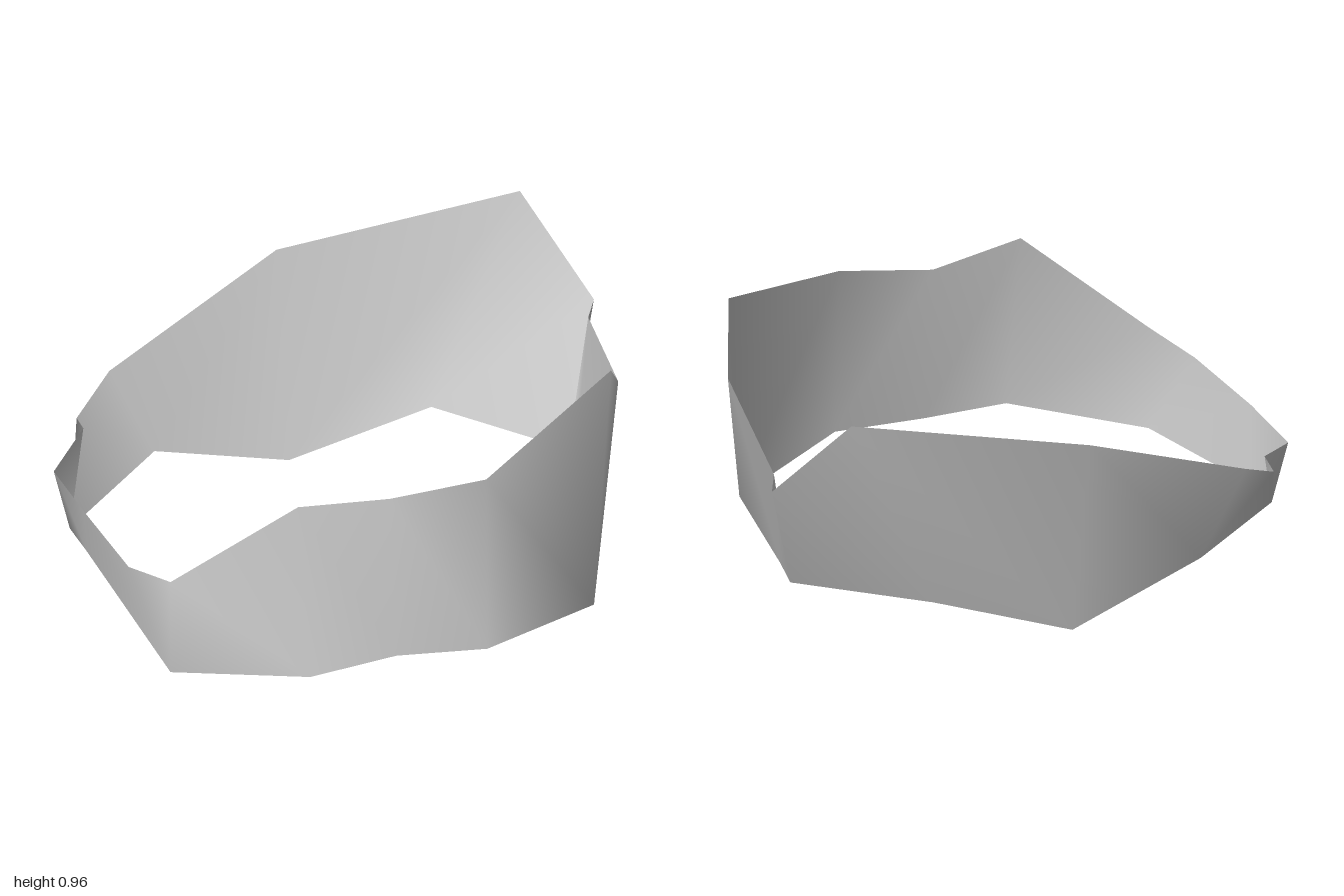
import * as THREE from 'three';

// Upper and lower rims of the band, running from the front towards +x and around
const upperRim = [
  [-0.39, 0.84, 0.73], [-0.05, 0.79, 0.70], [0.29, 0.83, 0.73], [0.83, 0.965, 0.40],
  [0.91, 0.76, 0.20], [0.95, 0.64, -0.35], [1.00, 0.63, -0.46], [0.80, 0.96, -0.71],
  [-0.05, 0.79, -0.82], [-0.70, 0.51, -0.65], [-0.85, 0.42, -0.53], [-0.85, 0.44, -0.44],
  [-1.00, 0.395, -0.28], [-0.97, 0.42, 0.00], [-0.91, 0.44, 0.39], [-0.81, 0.49, 0.58],
];
const lowerRim = [
  [-0.37, 0.165, 0.82], [-0.05, 0.175, 0.79], [0.27, 0.165, 0.82], [0.72, 0.10, 0.58],
  [0.83, 0.165, -0.10], [0.85, 0.16, -0.25], [0.45, 0.17, -0.60], [-0.05, 0.0, -0.65],
  [-0.55, 0.17, -0.60], [-0.95, 0.16, -0.25], [-0.93, 0.165, -0.10], [-0.81, 0.10, 0.58],
];
// Lower point below each upper point; repeated where the panels fan out
const below = [0, 1, 2, 3, 3, 4, 5, 6, 7, 8, 8, 9, 9, 10, 11, 11];

export function createModel() {
  const group = new THREE.Group();
  group.name = 'band';
  const bandGrey = new THREE.MeshStandardMaterial({ color: 0xcccccc, side: THREE.DoubleSide });
  bandGrey.name = 'bandGrey';

  // Sheet stretched between the two rims, with shared vertices for smooth shading
  const n = upperRim.length;
  const index = [];
  for (let i = 0; i < n; i++) {
    const j = (i + 1) % n;
    const a = n + below[i], b = n + below[j];
    if (a !== b) index.push(i, a, b);
    index.push(i, b, j);
  }
  const geometry = new THREE.BufferGeometry();
  geometry.setAttribute('position',
    new THREE.Float32BufferAttribute([...upperRim, ...lowerRim].flat(), 3));
  geometry.setIndex(index);
  geometry.computeVertexNormals();

  const sheet = new THREE.Mesh(geometry, bandGrey);
  sheet.name = 'bandSheet';
  group.add(sheet);
  return group;
}
